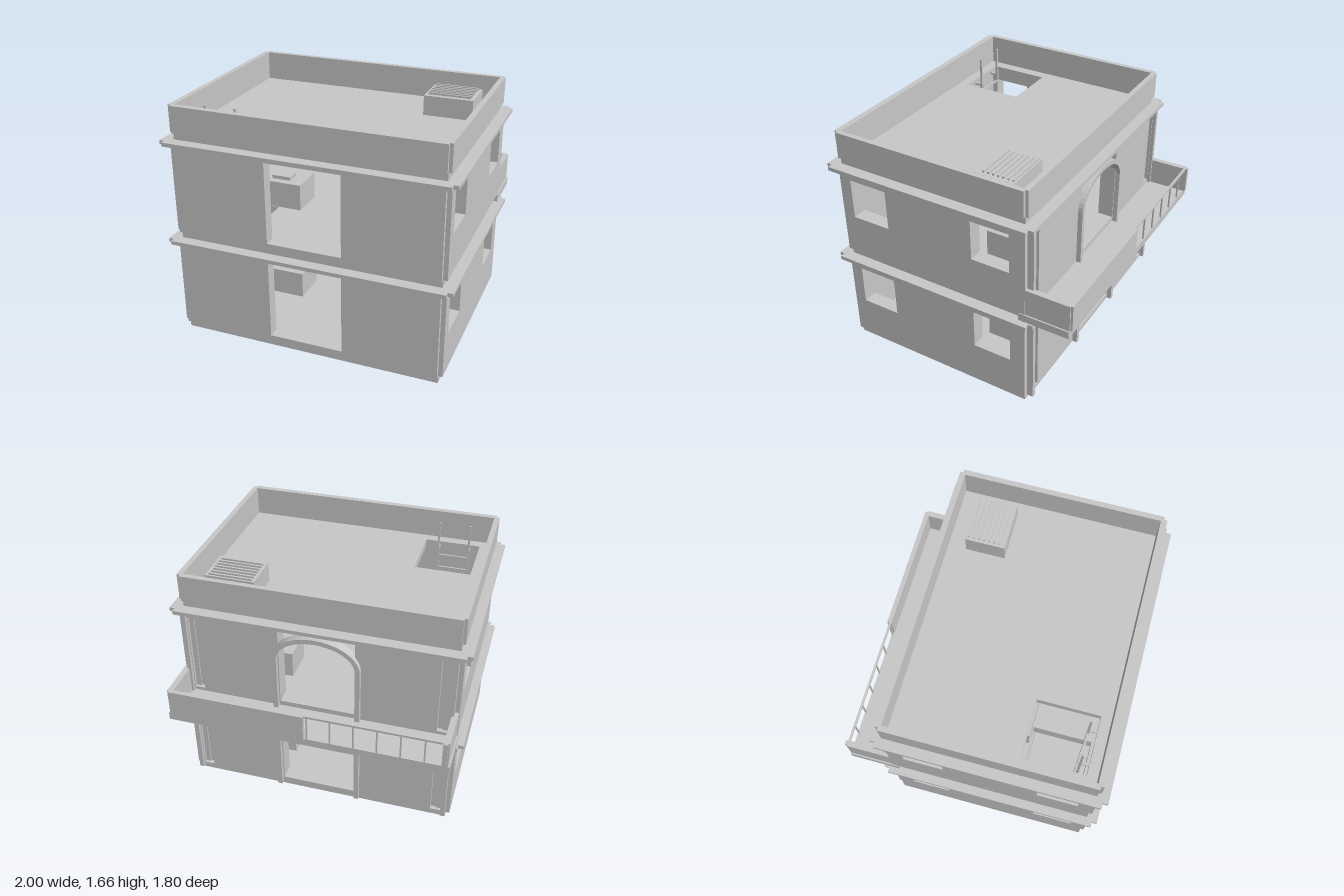
import * as THREE from 'three';

const stone = new THREE.MeshStandardMaterial({ color: 0xc8c8c8 });
stone.name = 'grey stone';

export function createModel() {
  const model = new THREE.Group();
  model.name = 'house';

  function add(name, geometry) {
    const mesh = new THREE.Mesh(geometry, stone);
    mesh.name = name;
    model.add(mesh);
    return mesh;
  }

  // Box given by its limits on each axis
  function box(name, x0, x1, y0, y1, z0, z1) {
    const g = new THREE.BoxGeometry(x1 - x0, y1 - y0, z1 - z0);
    g.translate((x0 + x1) / 2, (y0 + y1) / 2, (z0 + z1) / 2);
    return add(name, g);
  }

  const rect = (a0, a1, b0, b1) => [[a0, b0], [a1, b0], [a1, b1], [a0, b1]];
  const toPoints = list => list.map(([a, b]) => new THREE.Vector2(a, b));

  // Outline and holes all run anticlockwise
  function extrude(outline, holes, depth) {
    const shape = new THREE.Shape(toPoints(outline));
    for (const h of holes) shape.holes.push(new THREE.Path(toPoints(h)));
    return new THREE.ExtrudeGeometry(shape, { depth, bevelEnabled: false });
  }

  // Horizontal layer from a plan in x and z
  function layer(name, outline, holes, y0, y1) {
    const flip = list => list.map(([x, z]) => [x, -z]).reverse();
    const g = extrude(flip(outline), holes.map(flip), y1 - y0);
    g.rotateX(-Math.PI / 2).translate(0, y0, 0);
    return add(name, g);
  }

  // Rectangle in plan with a small square step at each corner
  function stepped(x, z0, z1, s) {
    return [
      [-x + s, z0], [x - s, z0], [x - s, z0 + s], [x, z0 + s],
      [x, z1 - s], [x - s, z1 - s], [x - s, z1], [-x + s, z1],
      [-x + s, z1 - s], [-x, z1 - s], [-x, z0 + s], [-x + s, z0 + s],
    ];
  }

  // Half ellipse from right to left
  function arc(a, b, cy) {
    const points = [];
    for (let i = 0; i <= 20; i++) {
      const t = Math.PI * i / 20;
      points.push([a * Math.cos(t), cy + b * Math.sin(t)]);
    }
    return points;
  }

  const hatch = rect(-0.83, -0.437, 0.31, 0.73);

  // Floors and roof
  box('groundSlab', -0.92, 0.92, 0, 0.09, -0.56, 0.82);
  layer('upperFloor', rect(-0.92, 0.92, -0.56, 0.82), [hatch], 0.685, 0.8);
  layer('roofDeck', rect(-0.91, 0.91, -0.555, 0.81), [hatch], 1.4, 1.46);

  // The two storeys
  for (const [base, top, sill, head, winLow, winHigh] of [
    [0.055, 0.69, 0.095, 0.665, 0.34, 0.625],
    [0.77, 1.405, 0.805, 1.375, 1.055, 1.34],
  ]) {
    const door = rect(-0.26, 0.26, sill, head);
    const wall = rect(-0.92, 0.92, base, top);
    const recesses = [-0.85, 0.85].map(x => rect(x - 0.035, x + 0.035, base + 0.025, top - 0.04));
    add('frontWall', extrude(wall, [door], 0.08)).position.z = 0.77;
    add('backWall', extrude(wall, [door], 0.08)).position.z = -0.565;
    add('backFacing', extrude(wall, [door, ...recesses], 0.03)).position.z = -0.595;

    // Side walls, drawn in (-z, y) and turned to face outwards
    const windows = [rect(-0.735, -0.455, winLow, winHigh), rect(0.19, 0.465, winLow, winHigh)];
    for (const x of [-0.95, 0.85]) {
      const g = extrude(rect(-0.82, 0.575, base, top), windows, 0.1);
      g.rotateY(Math.PI / 2);
      add('sideWall', g).position.x = x;
    }

    // Rear corner pilasters
    for (const x of [-0.92, 0.89]) box('rearPilaster', x, x + 0.03, base, top, -0.62, -0.58);

    // Arched frame around the rear opening
    const spring = head - 0.203;
    const frame = [
      [0.3, base], ...arc(0.3, 0.2, spring), [-0.3, base],
      [-0.267, base], ...arc(0.267, 0.167, spring).reverse(), [0.267, base],
    ];
    add('archFrame', extrude(frame, [], 0.065)).position.z = -0.628;

    // Low cabinets with a raised lid, one turned to each door
    const floor = sill - 0.005;
    for (const s of [-1, 1]) {
      const x = s * 0.415, z = -s * 0.18, lidX = s * 0.44, lidZ = -s * 0.2;
      box('cabinet', x - 0.145, x + 0.145, floor, floor + 0.19, z - 0.125, z + 0.125);
      box('cabinetLid', lidX - 0.07, lidX + 0.07, floor + 0.19, floor + 0.215, lidZ - 0.05, lidZ + 0.05);
    }
  }

  // Cornices, neck and parapet
  const core = [rect(-0.86, 0.86, -0.5, 0.78)];
  for (const y of [0.688, 1.402]) {
    layer('cornice', stepped(1, -0.64, 0.9, 0.035), core, y, y + 0.027);
  }
  const inner = [rect(-0.905, 0.905, -0.545, 0.8)];
  layer('roofNeck', rect(-0.92, 0.92, -0.56, 0.82), inner, 1.425, 1.48);
  layer('parapet', stepped(0.942, -0.582, 0.842, 0.022), inner, 1.48, 1.665);

  // Rear balcony, half solid and half railed
  box('balconySlab', -0.955, 0.955, 0.716, 0.77, -0.885, -0.53);
  for (const x of [-0.945, 0.905]) box('balconySide', x, x + 0.04, 0.77, 0.96, -0.885, -0.57);
  box('balconyFront', 0, 0.935, 0.77, 0.96, -0.9, -0.868);
  box('balconyCorner', -0.935, -0.905, 0.77, 0.96, -0.9, -0.868);
  box('topRail', -0.92, 0, 0.945, 0.96, -0.885, -0.87);
  for (let i = 0; i < 6; i++) {
    const x = -0.018 - i * 0.155;
    box('railPost', x - 0.005, x + 0.005, 0.77, 0.95, -0.883, -0.872);
  }

  // Ladder through both hatches
  for (const x of [-0.757, -0.538]) {
    box('ladderRail', x - 0.007, x + 0.007, 0.09, 1.64, 0.667, 0.682);
    for (const y of [0.74, 1.43]) {
      box('ladderBracket', x - 0.007, x + 0.007, y - 0.007, y + 0.007, 0.68, 0.735);
    }
  }
  for (let y = 0.18; y < 1.45; y += 0.1) {
    box('ladderRung', -0.757, -0.538, y - 0.006, y + 0.006, 0.668, 0.68);
  }

  // Roof ventilation unit with slats
  box('roofUnit', 0.47, 0.815, 1.455, 1.6, -0.42, -0.15);
  for (let i = 0; i < 7; i++) {
    const z = -0.402 + i * 0.035;
    box('roofUnitSlat', 0.49, 0.79, 1.595, 1.613, z - 0.006, z + 0.006);
  }

  return model;
}
